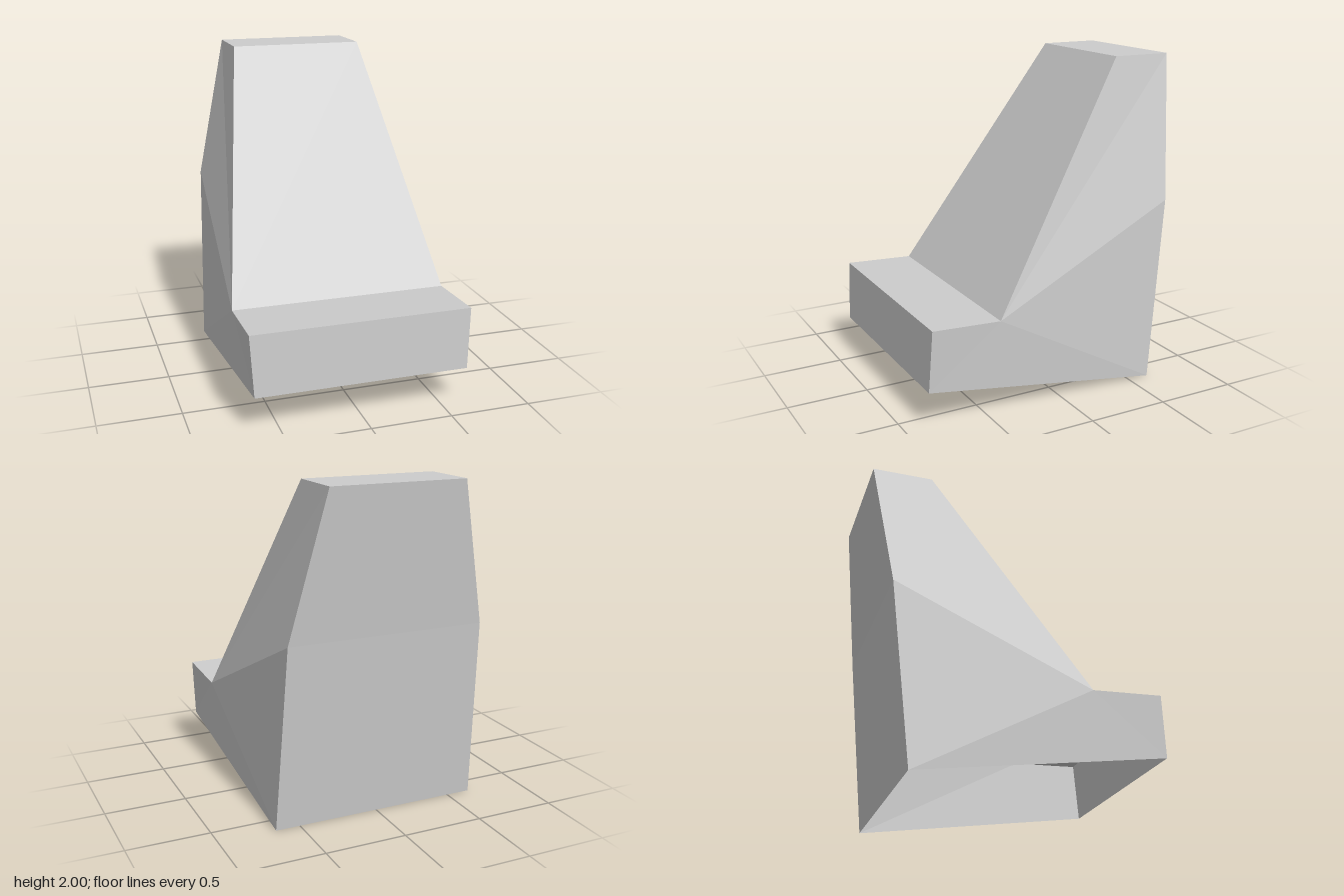
import * as THREE from 'three';

// Side profile, from front bottom over the top to back bottom: [half width, y, z]
const profile = [
  [0.65, 0.225, 0.868], // front bottom
  [0.67, 0.6, 0.848],   // front top
  [0.67, 0.58, 0.422],  // crease
  [0.415, 2, -0.495],   // top front
  [0.415, 2, -0.866],   // top back
  [0.612, 1.13, -0.752], // back bend
  [0.65, 0, -0.635],    // back bottom
];
const CREASE = 2;

const corner = (i, side) => [profile[i][0] * side, profile[i][1], profile[i][2]];

function facetMesh(name, triangles, material) {
  const geometry = new THREE.BufferGeometry();
  geometry.setAttribute('position', new THREE.Float32BufferAttribute(triangles.flat(2), 3));
  geometry.computeVertexNormals();
  const mesh = new THREE.Mesh(geometry, material);
  mesh.name = name;
  return mesh;
}

export function createModel() {
  const group = new THREE.Group();
  group.name = 'openShell';
  const grey = new THREE.MeshStandardMaterial({ color: 0xcccccc, flatShading: true, side: THREE.DoubleSide });
  grey.name = 'light grey';

  // Panels running across the width; the underside stays open
  const panels = ['frontLip', 'ledge', 'frontSlope', 'topCap', 'upperBack', 'lowerBack'];
  panels.forEach((name, i) => {
    const [a, b, c, d] = [corner(i, -1), corner(i, 1), corner(i + 1, 1), corner(i + 1, -1)];
    group.add(facetMesh(name, [[a, b, c], [a, c, d]], grey));
  });

  // Mirrored side walls, each a fan of facets around the crease corner
  for (const side of [1, -1]) {
    const triangles = [];
    const n = profile.length;
    for (let k = 1; k < n - 1; k++) {
      const current = corner((CREASE + k) % n, side);
      const next = corner((CREASE + k + 1) % n, side);
      const centre = corner(CREASE, side);
      triangles.push(side > 0 ? [centre, next, current] : [centre, current, next]);
    }
    group.add(facetMesh(side > 0 ? 'leftWall' : 'rightWall', triangles, grey));
  }
  return group;
}
